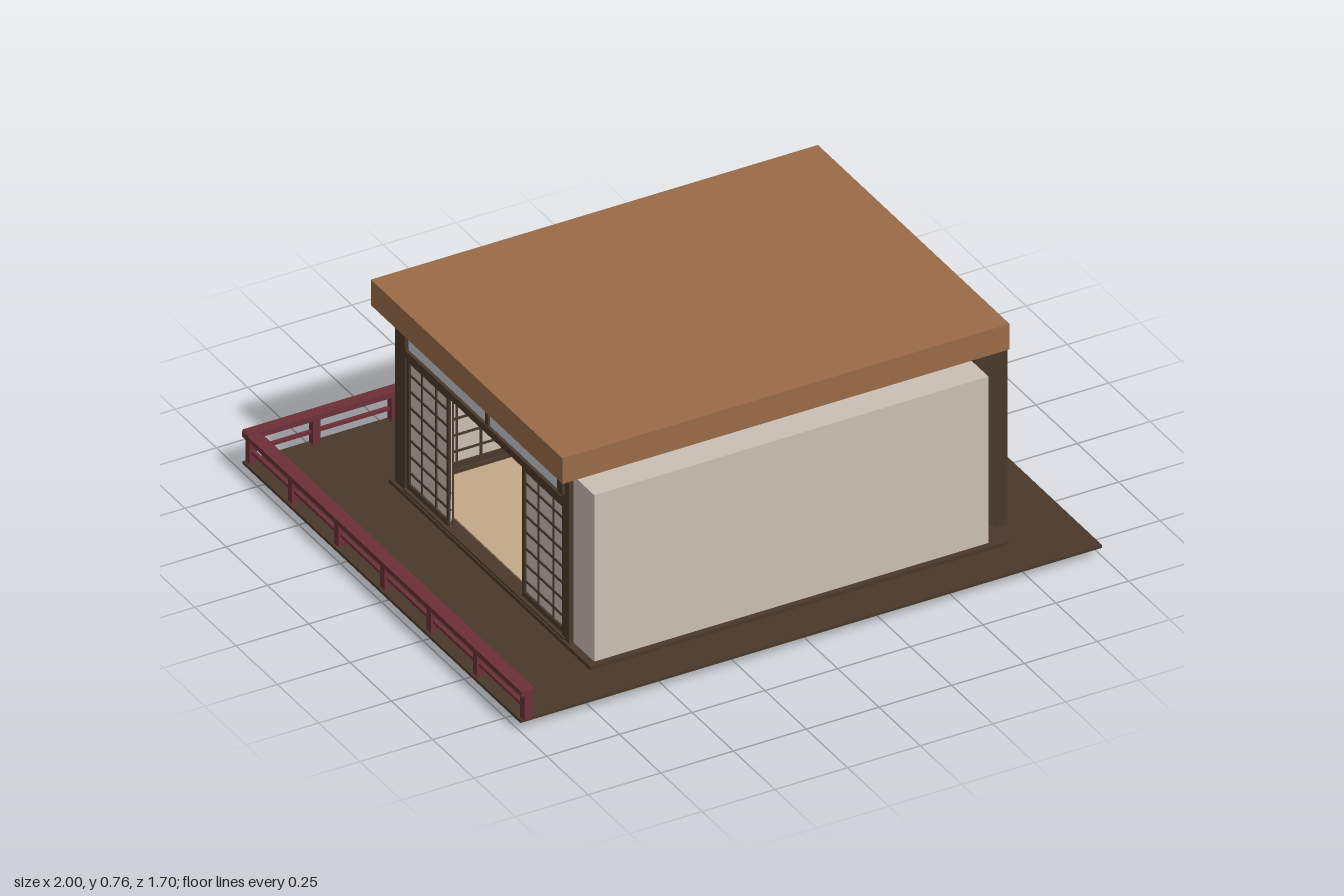
import * as THREE from 'three';

const mat = (name, color) => {
  const m = new THREE.MeshStandardMaterial({ color });
  m.name = name;
  return m;
};

export function createModel() {
  const roofWood = mat('roofWood', 0x9a6b48);
  const darkWood = mat('darkWood', 0x4a392b);
  const plaster = mat('plaster', 0xcbbfb4);
  const straw = mat('straw', 0xc4a888);
  const railRed = mat('railRed', 0x6c3037);
  const glass = mat('transomGlass', 0xc2c9cc);

  const model = new THREE.Group();
  model.name = 'teaRoom';

  // box given by its extents along each axis
  const box = (name, m, x0, x1, y0, y1, z0, z1, parent = model) => {
    const mesh = new THREE.Mesh(new THREE.BoxGeometry(x1 - x0, y1 - y0, z1 - z0), m);
    mesh.position.set((x0 + x1) / 2, (y0 + y1) / 2, (z0 + z1) / 2);
    mesh.name = name;
    parent.add(mesh);
    return mesh;
  };
  const group = (name) => {
    const g = new THREE.Group();
    g.name = name;
    model.add(g);
    return g;
  };

  // veranda deck, raised floor and roof slab
  box('deck', darkWood, -1, 1, 0.03, 0.04, -0.84, 0.84);
  box('floorBase', darkWood, -0.68, 0.76, 0.04, 0.053, -0.52, 0.7);
  box('roof', roofWood, -0.73, 0.807, 0.67, 0.76, -0.54, 0.62);

  // corner posts reaching through the deck to the ground
  box('postFrontLeft', darkWood, -0.67, -0.64, 0.01, 0.67, 0.51, 0.555);
  box('postFrontRight', darkWood, 0.7, 0.811, 0.01, 0.735, 0.54, 0.6);
  box('postBackRight', darkWood, 0.7, 0.811, 0, 0.748, -0.5, -0.44);
  box('postBackLeft', darkWood, -0.67, -0.56, 0, 0.7, -0.5, -0.44);

  // straw mats: [column, row, columns wide, rows deep], with cloth edges left dark
  const mats = group('floorMats');
  const cx = 0.335, cz = 0.325, ox = -0.63, oz = -0.44;
  [[0, 0, 1, 2], [3, 0, 1, 2], [1, 0, 2, 1], [1, 1, 2, 1], [0, 2, 2, 1], [2, 2, 2, 1]].forEach(([c, r, w, d]) => {
    const e = 0.009;
    // dark cloth runs along the two long sides
    const ex = w > d ? 0.002 : e, ez = w > d ? e : 0.002;
    box('mat', straw, ox + c * cx + ex, ox + (c + w) * cx - ex, 0.053, 0.058,
      oz + r * cz + ez, oz + (r + d) * cz - ez, mats);
  });

  // front alcove: an outward plaster shell open to the room
  const alcove = group('alcove');
  box('alcoveBack', plaster, -0.655, 0.7, 0.053, 0.64, 0.665, 0.68, alcove);
  box('alcoveTop', plaster, -0.655, 0.7, 0.625, 0.64, 0.55, 0.665, alcove);
  box('alcoveSide', plaster, -0.655, -0.64, 0.053, 0.625, 0.55, 0.665, alcove);
  box('alcoveSide', plaster, 0.685, 0.7, 0.053, 0.625, 0.55, 0.665, alcove);
  box('alcoveSill', darkWood, -0.64, 0.685, 0.053, 0.075, 0.54, 0.665, alcove);
  box('alcovePost', darkWood, -0.345, -0.32, 0.075, 0.625, 0.54, 0.57, alcove);
  box('alcovePartition', plaster, -0.34, -0.325, 0.075, 0.625, 0.57, 0.665, alcove);
  box('alcoveLintel', darkWood, -0.64, 0.7, 0.52, 0.54, 0.535, 0.55, alcove);
  box('alcoveHeaderPanel', plaster, -0.64, 0.7, 0.54, 0.64, 0.538, 0.549, alcove);
  box('frontBeam', roofWood, -0.64, 0.7, 0.64, 0.67, 0.54, 0.57, alcove);

  // ceiling with a grid of beams
  const ceiling = group('ceiling');
  box('ceilingPanel', plaster, -0.64, 0.73, 0.662, 0.669, -0.46, 0.54, ceiling);
  for (let i = 1; i < 4; i++) {
    const x = -0.64 + i * 0.34;
    box('ceilingBeam', roofWood, x - 0.012, x + 0.012, 0.642, 0.662, -0.45, 0.54, ceiling);
  }
  for (let i = 1; i < 3; i++) {
    const z = -0.45 + i * 0.33;
    box('ceilingCrossBeam', roofWood, -0.64, 0.72, 0.645, 0.662, z - 0.012, z + 0.012, ceiling);
  }

  // right wall: plaster header over two sliding doors with round pulls
  const right = group('rightWall');
  box('header', plaster, 0.728, 0.742, 0.53, 0.67, -0.44, 0.54, right);
  box('lintel', darkWood, 0.722, 0.75, 0.518, 0.532, -0.44, 0.54, right);
  box('sill', darkWood, 0.715, 0.755, 0.053, 0.06, -0.44, 0.54, right);
  [[0.29, 0.53, 0.337], [-0.43, -0.185, -0.232]].forEach(([z0, z1, zk]) => {
    box('slidingDoor', plaster, 0.73, 0.742, 0.062, 0.518, z0 + 0.006, z1 - 0.006, right);
    [z0, z1].forEach((z) =>
      box('doorEdge', darkWood, 0.727, 0.745, 0.06, 0.518, z - 0.006, z + 0.006, right));
    const knob = new THREE.Mesh(new THREE.CylinderGeometry(0.011, 0.011, 0.026, 16), darkWood);
    knob.rotation.z = Math.PI / 2;
    knob.position.set(0.736, 0.275, zk);
    knob.name = 'doorPull';
    right.add(knob);
  });

  // paper screen in the local xy plane, spanning a..b
  const screen = (parent, a, b) => {
    const y0 = 0.06, y1 = 0.52, f = 0.014, bar = 0.0035;
    box('screenPaper', plaster, a, b, y0, y1, -0.002, 0.002, parent);
    [[a, a + f], [b - f, b]].forEach(([p, q]) =>
      box('screenStile', darkWood, p, q, y0, y1, -0.009, 0.009, parent));
    [[y0, y0 + 0.02], [y1 - f, y1]].forEach(([p, q]) =>
      box('screenRail', darkWood, a, b, p, q, -0.009, 0.009, parent));
    for (let i = 1; i < 3; i++) {
      const x = a + ((b - a) * i) / 3;
      box('latticeUpright', darkWood, x - bar, x + bar, y0, y1, -0.006, 0.006, parent);
    }
    for (let i = 1; i < 8; i++) {
      const y = y0 + ((y1 - y0) * i) / 8;
      box('latticeBar', darkWood, a, b, y - bar, y + bar, -0.006, 0.006, parent);
    }
  };

  // open side with a screen at each end and a glazed transom above
  const screenWall = (name, a, b, widthA, widthB) => {
    const g = group(name), mid = (a + b) / 2;
    screen(g, a, a + widthA);
    screen(g, b - widthB, b);
    box('sill', darkWood, a, b, 0.053, 0.06, -0.02, 0.02, g);
    box('lintel', darkWood, a, b, 0.52, 0.545, -0.014, 0.014, g);
    box('transomGlass', glass, a, b, 0.545, 0.645, -0.003, 0.003, g);
    box('transomMullion', darkWood, mid - 0.009, mid + 0.009, 0.545, 0.645, -0.01, 0.01, g);
    box('topBeam', darkWood, a, b, 0.645, 0.67, -0.014, 0.014, g);
    return g;
  };
  screenWall('backWall', -0.56, 0.7, 0.25, 0.25).position.z = -0.47;
  const left = screenWall('leftWall', -0.53, 0.44, 0.27, 0.255);
  left.rotation.y = Math.PI / 2;
  left.position.x = -0.655;
  box('transomEndBlock', darkWood, -0.681, -0.655, 0.565, 0.64, 0.5, 0.53);

  // veranda railing along the left and back edges
  const railing = group('railing');
  box('leftHandrail', railRed, -1, -0.955, 0.125, 0.143, -0.845, 0.848, railing);
  box('leftMidRail', railRed, -0.984, -0.972, 0.074, 0.084, -0.83, 0.835, railing);
  box('backHandrail', railRed, -0.995, 0.903, 0.126, 0.145, -0.85, -0.81, railing);
  box('backMidRail', railRed, -0.98, 0.87, 0.074, 0.084, -0.836, -0.824, railing);
  const railPost = (x, z) =>
    box('railPost', railRed, x - 0.013, x + 0.013, 0.04, 0.126, z - 0.013, z + 0.013, railing);
  [0.835, 0.55, 0.27, -0.012, -0.29, -0.57].forEach((z) => railPost(-0.978, z));
  [-0.978, -0.76, -0.49, -0.145, 0.21, 0.56, 0.885].forEach((x) => railPost(x, -0.827));

  return model;
}
